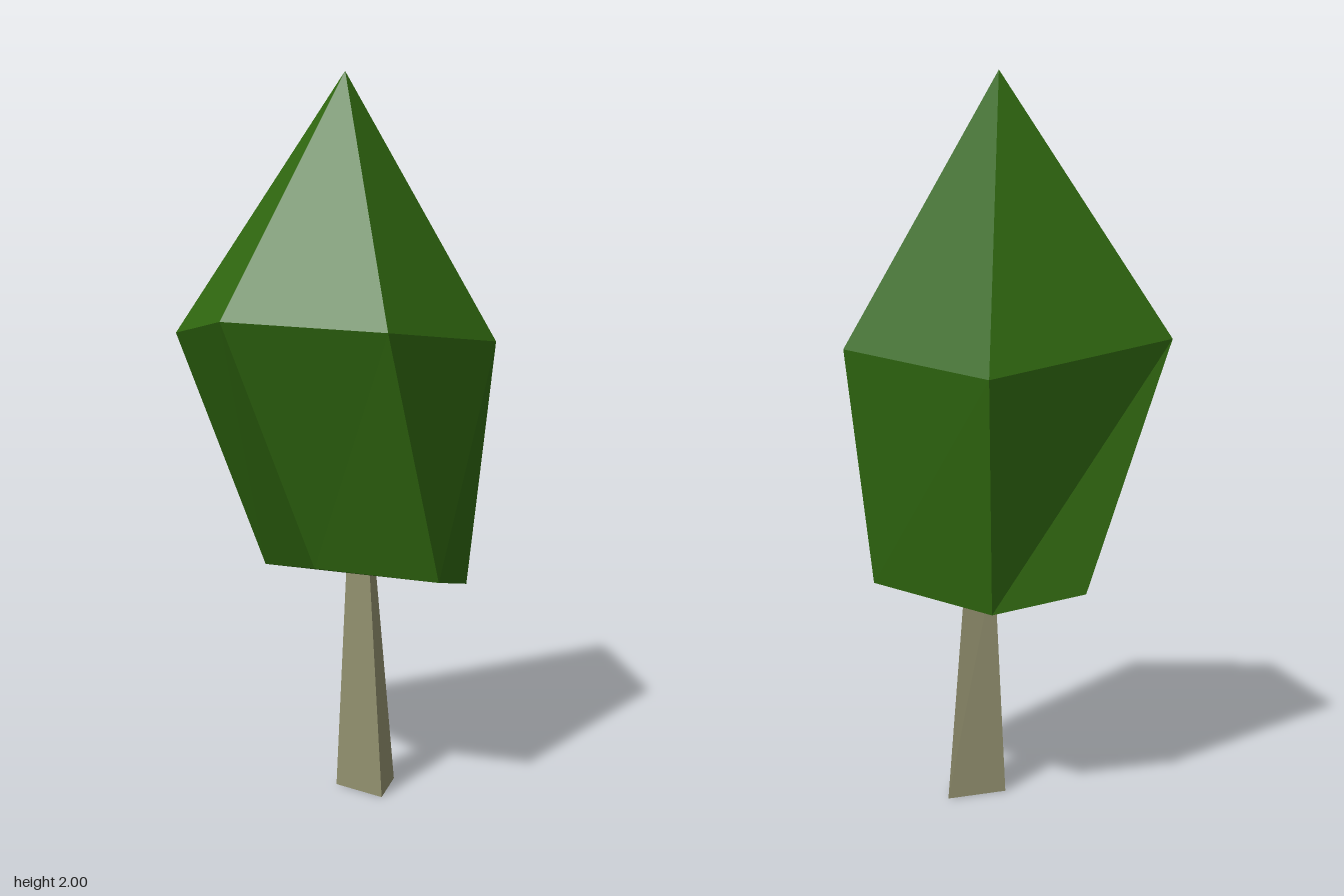
import * as THREE from 'three';

// Skin a stack of rings (each counterclockwise from above); a one-point ring is a tip
function loft(rings, capBottom) {
  const pos = [];
  const tri = (a, b, c) => pos.push(...a, ...b, ...c);
  for (let r = 0; r < rings.length - 1; r++) {
    const lo = rings[r], hi = rings[r + 1], n = lo.length;
    for (let i = 0; i < n; i++) {
      const j = (i + 1) % n;
      if (hi.length === 1) {
        tri(lo[i], lo[j], hi[0]);
      } else {
        tri(lo[i], lo[j], hi[j]);
        tri(lo[i], hi[j], hi[i]);
      }
    }
  }
  if (capBottom) {
    const b = rings[0];
    for (let i = 1; i < b.length - 1; i++) tri(b[0], b[i + 1], b[i]);
  }
  const geo = new THREE.BufferGeometry();
  geo.setAttribute('position', new THREE.Float32BufferAttribute(pos, 3));
  geo.computeVertexNormals();
  return geo;
}

export function createModel() {
  const tree = new THREE.Group();
  tree.name = 'tree';

  const leafGreen = new THREE.MeshStandardMaterial({ color: 0x316a10, flatShading: true });
  leafGreen.name = 'leafGreen';
  const barkGrey = new THREE.MeshStandardMaterial({ color: 0x949270, flatShading: true, side: THREE.DoubleSide });
  barkGrey.name = 'barkGrey';

  // Leaning five-sided crown: narrow base, wide shoulder, pointed tip
  const crownBase = [
    [0.045, 0.65, 0.37], [0.26, 0.595, 0.29], [0.25, 0.56, -0.11],
    [0.04, 0.60, -0.27], [-0.09, 0.66, 0.04],
  ];
  const crownShoulder = [
    [-0.19, 1.355, 0.39], [0.385, 1.26, 0.285], [0.38, 1.22, -0.2],
    [-0.19, 1.28, -0.39], [-0.385, 1.365, -0.025],
  ];
  const crown = new THREE.Mesh(loft([crownBase, crownShoulder, [[0.11, 2, -0.03]]], true), leafGreen);
  crown.name = 'crown';

  // Tapered three-sided trunk, open underneath
  const trunkFoot = [[0.05, 0, 0.165], [0.2, 0, 0.08], [0.05, 0, -0.005]];
  const trunkTop = [[0.045, 0.64, 0.122], [0.117, 0.64, 0.08], [0.045, 0.64, 0.036]];
  const trunk = new THREE.Mesh(loft([trunkFoot, trunkTop], false), barkGrey);
  trunk.name = 'trunk';

  tree.add(crown, trunk);
  return tree;
}
